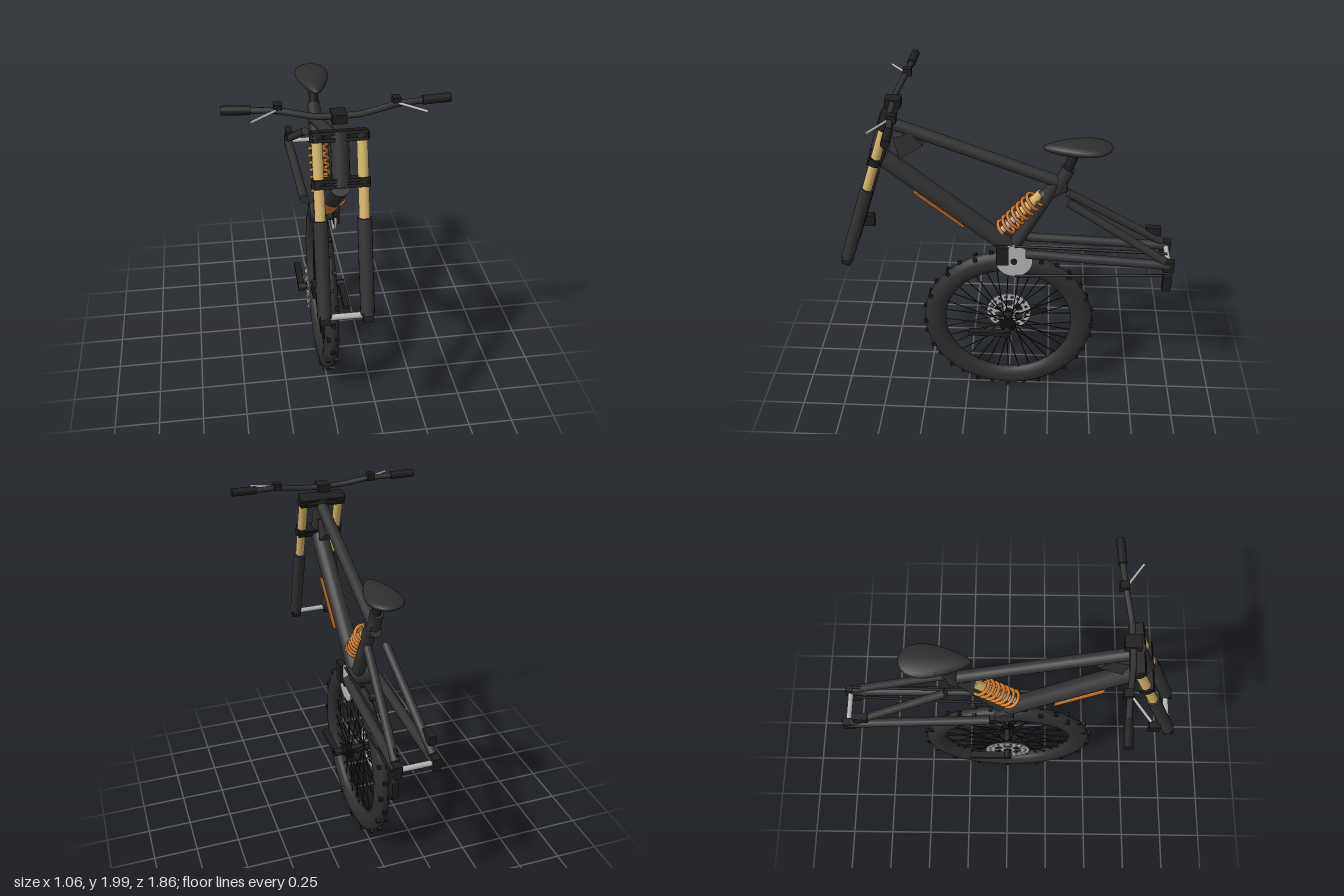
import * as THREE from 'three';

const mat = (name, color, side = THREE.FrontSide) => {
  const m = new THREE.MeshStandardMaterial({ color, side });
  m.name = name;
  return m;
};
const V = (x, y, z) => new THREE.Vector3(x, y, z);
const UP = V(0, 1, 0);

export function createModel() {
  const root = new THREE.Group();
  const frame = mat('frame charcoal', 0x323232);
  const black = mat('component black', 0x1e1e1e);
  const rubber = mat('tyre rubber', 0x2e2e2e);
  const gold = mat('stanchion gold', 0xd2b36a);
  const orange = mat('accent orange', 0xcf7a2a, THREE.DoubleSide);
  const metal = mat('bare metal', 0xb4b4b4);

  const add = (name, geo, material, pos = V(0, 0, 0), parent = root) => {
    const m = new THREE.Mesh(geo, material);
    m.name = name;
    m.position.copy(pos);
    parent.add(m);
    return m;
  };
  // places a y-aligned geometry between two points
  const align = (m, a, b) => {
    m.position.copy(a).add(b).multiplyScalar(0.5);
    m.quaternion.setFromUnitVectors(UP, b.clone().sub(a).normalize());
    return m;
  };
  const rod = (name, a, b, r, material, r2 = r, seg = 18, parent = root) =>
    align(add(name, new THREE.CylinderGeometry(r2, r, a.distanceTo(b), seg), material, undefined, parent), a, b);
  const box = (name, w, h, d, material, x, y, z, rx = 0, parent = root) => {
    const m = add(name, new THREE.BoxGeometry(w, h, d), material, V(x, y, z), parent);
    m.rotation.x = rx;
    return m;
  };
  const sides = [-1, 1];

  // Main frame
  const downLow = V(0, 1.06, 0), downTop = V(0, 1.61, 0.665);
  rod('headTube', V(0, 1.63, 0.695), V(0, 1.875, 0.612), 0.043, frame);
  rod('topTube', V(0, 1.47, -0.31), V(0, 1.81, 0.6), 0.033, frame);
  rod('downTube', downLow, downTop, 0.05, frame);
  rod('seatTube', V(0, 1.04, -0.02), V(0, 1.48, -0.255), 0.036, frame);
  rod('seatCollar', V(0, 1.44, -0.265), V(0, 1.57, -0.32), 0.036, frame);
  rod('shockMount', V(0, 1.46, -0.31), V(0, 1.39, -0.18), 0.032, frame);
  rod('bottomBracket', V(-0.065, 1.03, -0.02), V(0.065, 1.03, -0.02), 0.055, frame);
  const gussetShape = new THREE.Shape([[0.6, 1.74], [0.51, 1.77], [0.445, 1.7], [0.575, 1.615]]
    .map(([z, y]) => new THREE.Vector2(-z, y)));
  add('headGusset', new THREE.ExtrudeGeometry(gussetShape, { depth: 0.06, bevelEnabled: false }),
    frame, V(-0.03, 0, 0)).rotation.y = Math.PI / 2;

  // Curved guard under the down tube
  const along = (t) => downLow.clone().lerp(downTop, t);
  const g0 = along(0.33), g1 = along(0.71);
  align(add('downTubeGuard',
    new THREE.CylinderGeometry(0.067, 0.067, g0.distanceTo(g1), 20, 1, true, -1.22, 2.44), orange), g0, g1);

  // Seat post and teardrop saddle
  rod('seatPost', V(0, 1.55, -0.31), V(0, 1.69, -0.36), 0.026, black);
  const saddle = new THREE.SphereGeometry(1, 28, 18);
  const sp = saddle.attributes.position;
  for (let i = 0; i < sp.count; i++) {
    const x = sp.getX(i), y = sp.getY(i), z = sp.getZ(i), t = (z + 1) / 2;
    sp.setXYZ(i, x * (0.125 - 0.078 * t), y * (y > 0 ? 0.034 : 0.038) + 0.008 * (1 - t), z * 0.183);
  }
  saddle.computeVertexNormals();
  add('saddle', saddle, rubber, V(0, 1.69, -0.363));

  // Shock with coil spring
  const s0 = V(0, 1.15, 0.045), s1 = V(0, 1.41, -0.18);
  const shockAt = (t) => s0.clone().lerp(s1, t);
  rod('shockShaft', s0, shockAt(0.5), 0.02, metal);
  rod('shockBody', shockAt(0.45), s1, 0.027, gold);
  const c0 = shockAt(0.08), c1 = shockAt(0.9), coilLength = c0.distanceTo(c1), turns = 7, coil = [];
  for (let i = 0; i <= turns * 12; i++) {
    const a = i * Math.PI / 6;
    coil.push(V(0.05 * Math.cos(a), coilLength * (i / (turns * 12) - 0.5), 0.05 * Math.sin(a)));
  }
  align(add('coilSpring', new THREE.TubeGeometry(new THREE.CatmullRomCurve3(coil), 170, 0.01, 7), orange), c0, c1);

  // Fork: stanchions, lowers, crowns
  const tilt = -0.325;
  const forkAt = (x, y) => V(x, y, 0.9 - (y - 1.016) * 0.337);
  for (const s of sides) {
    rod('stanchion', forkAt(s * 0.105, 1.42), forkAt(s * 0.105, 1.87), 0.026, gold);
    rod('forkLower', forkAt(s * 0.105, 1.02), forkAt(s * 0.105, 1.478), 0.035, frame);
    box('forkDropout', 0.05, 0.05, 0.055, black, s * 0.105, 1.012, 0.9, tilt);
    for (const y of [1.645, 1.85]) {
      const p = forkAt(s * 0.105, y);
      rod('crownClamp', forkAt(p.x, y - 0.019), forkAt(p.x, y + 0.019), 0.035, black);
    }
  }
  for (const y of [1.632, 1.658, 1.838, 1.868]) {
    const p = forkAt(0, y);
    box('forkCrown', 0.26, 0.016, 0.075, black, 0, p.y, p.z, tilt);
  }
  rod('frontAxle', V(-0.09, 1.015, 0.895), V(0.09, 1.015, 0.895), 0.016, metal);
  box('frontCaliper', 0.04, 0.07, 0.06, black, -0.133, 1.125, 0.805);

  // Handlebar, stem, grips and levers
  const barPoints = [[-0.42, 1.97, 0.545], [-0.27, 1.965, 0.56], [-0.1, 1.938, 0.585],
    [0.1, 1.938, 0.585], [0.27, 1.965, 0.56], [0.42, 1.97, 0.545]].map((p) => V(...p));
  add('handlebar', new THREE.TubeGeometry(
    new THREE.CatmullRomCurve3(barPoints, false, 'catmullrom', 0.3), 48, 0.015, 12), frame);
  box('stemClamp', 0.07, 0.045, 0.08, black, 0, 1.935, 0.587);
  for (const s of sides) {
    rod('grip', V(s * 0.395, 1.971, 0.547), V(s * 0.53, 1.974, 0.54), 0.022, black);
    box('leverClamp', 0.038, 0.04, 0.045, black, s * 0.273, 1.978, 0.55);
    rod('brakeLever', V(s * 0.28, 1.972, 0.565), V(s * 0.4, 1.962, 0.65), 0.007, metal, 0.007, 8);
  }

  // Rear triangle
  for (const s of sides) {
    rod('chainStay', V(s * 0.085, 1.065, -0.1), V(s * 0.098, 1.022, -0.895), 0.026, frame);
    rod('seatStay', V(s * 0.05, 1.385, -0.325), V(s * 0.098, 1.05, -0.87), 0.023, frame);
    box('rearDropout', 0.04, 0.07, 0.06, black, s * 0.1, 1.02, -0.893);
  }
  rod('rearAxle', V(-0.09, 1.02, -0.895), V(0.09, 1.02, -0.895), 0.015, metal);
  box('rearCaliper', 0.04, 0.05, 0.085, black, -0.1, 1.12, -0.815);

  // Chainring, chain and derailleur
  rod('chainring', V(0.066, 1.005, -0.035), V(0.078, 1.005, -0.035), 0.104, metal, 0.104, 32);
  rod('chainringBolt', V(0.06, 1.005, -0.035), V(0.085, 1.005, -0.035), 0.018, black);
  box('chainGuide', 0.035, 0.115, 0.07, black, 0.078, 1.045, 0.03);
  rod('upperChain', V(0.075, 1.107, -0.04), V(0.09, 1.095, -0.88), 0.008, black, 0.008, 8);
  rod('lowerChain', V(0.075, 0.902, -0.04), V(0.09, 0.945, -0.88), 0.008, black, 0.008, 8);
  box('derailleur', 0.032, 0.095, 0.05, black, 0.112, 0.91, -0.892);

  // Wheel, built about its own centre with the axle along x
  const wheel = new THREE.Group();
  wheel.name = 'wheel';
  wheel.position.y = 0.513;
  root.add(wheel);
  const tyre = new THREE.TorusGeometry(0.437, 0.063, 16, 64);
  tyre.scale(1, 1, 0.66);
  tyre.rotateY(Math.PI / 2);
  add('tyre', tyre, rubber, undefined, wheel);
  const knobs = 32;
  for (let i = 0; i < knobs; i++) {
    const a = (i / knobs) * Math.PI * 2;
    for (const [x, r] of i % 2 ? [[0, 0.501]] : [[-0.024, 0.492], [0.024, 0.492]]) {
      box('tyreKnob', 0.022, 0.024, 0.02, black, x, r * Math.cos(a), r * Math.sin(a), a, wheel);
    }
  }
  const spokes = 36;
  for (let i = 0; i < spokes; i++) {
    const a = (i / spokes) * Math.PI * 2, h = a + (i % 4 < 2 ? 0.5 : -0.5), x = i % 2 ? 0.04 : -0.04;
    rod('spoke', V(x, 0.03 * Math.cos(h), 0.03 * Math.sin(h)),
      V(0, 0.39 * Math.cos(a), 0.39 * Math.sin(a)), 0.003, black, 0.003, 5, wheel);
  }
  rod('hub', V(-0.09, 0, 0), V(0.09, 0, 0), 0.025, black, 0.025, 18, wheel);
  for (let i = 0; i < 5; i++) {
    const x = 0.042 + i * 0.009;
    rod('cassetteCog', V(x, 0, 0), V(x + 0.005, 0, 0), 0.05 - i * 0.005, black, 0.05 - i * 0.005, 20, wheel);
  }

  // Brake rotor with round vents and a cut-out spider
  const rotor = new THREE.Shape().absarc(0, 0, 0.135, 0, Math.PI * 2);
  for (let i = 0; i < 6; i++) {
    const a = i * Math.PI / 3, cut = new THREE.Path();
    cut.absarc(0, 0, 0.085, a + 0.15, a + 0.9, false);
    cut.absarc(0, 0, 0.045, a + 0.9, a + 0.15, true);
    rotor.holes.push(cut);
  }
  for (let i = 0; i < 18; i++) {
    const a = i * Math.PI / 9;
    rotor.holes.push(new THREE.Path().absarc(0.11 * Math.cos(a), 0.11 * Math.sin(a), 0.009, 0, Math.PI * 2));
  }
  add('brakeRotor', new THREE.ExtrudeGeometry(rotor, { depth: 0.005, bevelEnabled: false, curveSegments: 10 }),
    metal, V(-0.086, 0, 0), wheel).rotation.y = Math.PI / 2;

  // Cranks
  rod('crankAxle', V(-0.13, 0, 0), V(0.13, 0, 0), 0.017, black, 0.017, 16, wheel);
  for (const s of sides) {
    box('crankArm', 0.038, 0.026, 0.225, black, s * 0.12, 0, s * 0.115, 0, wheel);
    rod('crankBoss', V(s * 0.1, 0, 0), V(s * 0.138, 0, 0), 0.024, black, 0.024, 16, wheel);
  }
  return root;
}
